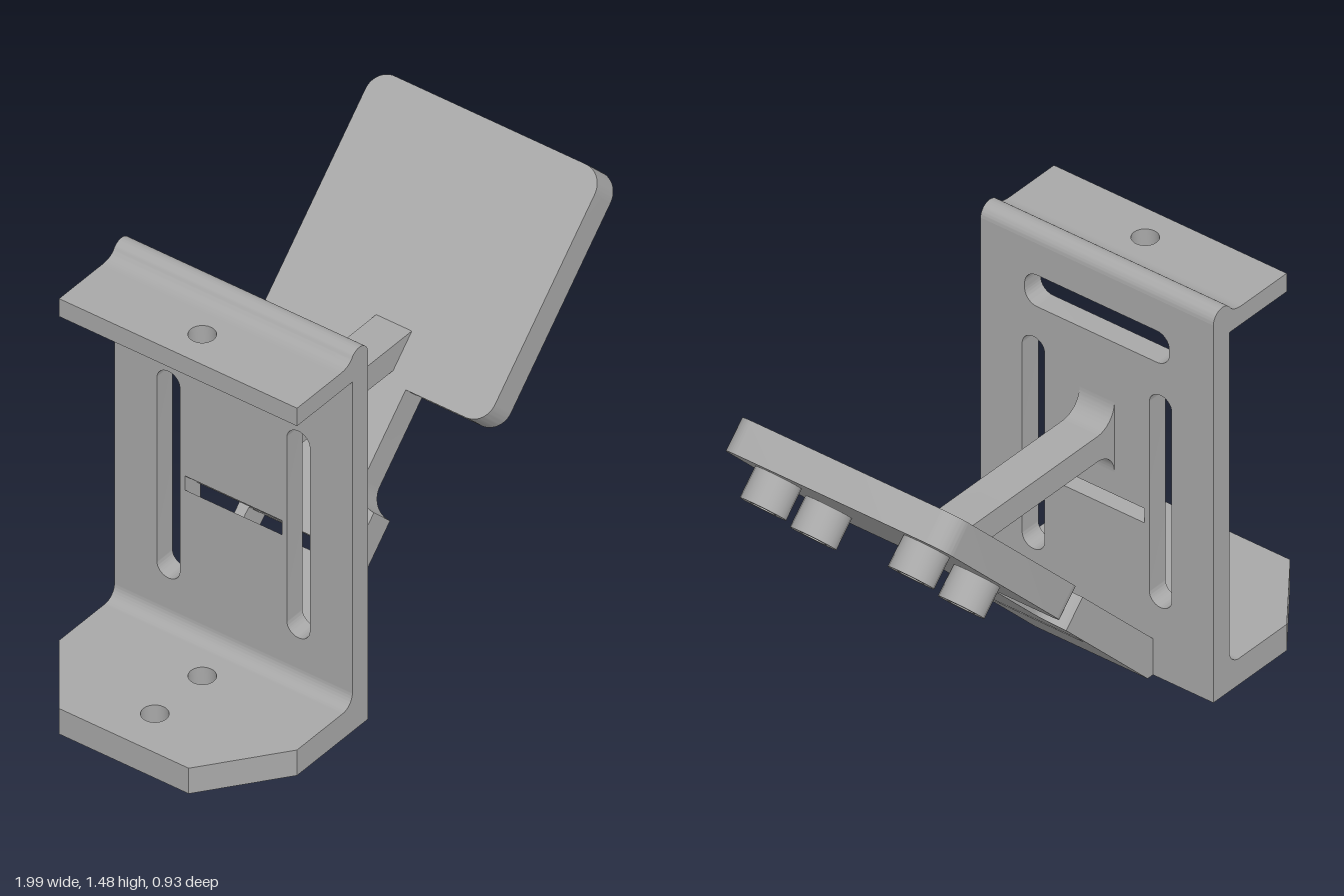
import * as THREE from 'three';
import { toCreasedNormals } from 'three/addons/utils/BufferGeometryUtils.js';

const V = (x, y, z) => new THREE.Vector3(x, y, z);
const D = Math.SQRT1_2;
const HALF = 0.467;               // half width of the bracket
const FRONT = -0.355, BACK = -0.435; // faces of the upright wall

// Frames in which flat shapes are drawn and then extruded
const frame = (a, b, c, o) => new THREE.Matrix4().makeBasis(a, b, c).setPosition(o);
const flatFrame = (y) => frame(V(1, 0, 0), V(0, 0, -1), V(0, 1, 0), V(0, y, 0));
const sideFrame = (half) => frame(V(1, 0, 0), V(0, 1, 0), V(0, 0, 1), V(0, 0, -half));
const wallFrame = frame(V(0, 0, 1), V(0, 1, 0), V(-1, 0, 0), V(FRONT, 0, 0));
const armFrame = frame(V(D, D, 0), V(0, 0, -1), V(-D, D, 0), V(-0.328, 0, 0));

const poly = (pts) => new THREE.Shape(pts.map(([x, y]) => new THREE.Vector2(x, y)));

function circle(x, y, r) {
  return new THREE.Shape().absarc(x, y, r, 0, Math.PI * 2, false);
}

function roundedRect(x0, y0, x1, y1, r) {
  const s = new THREE.Shape();
  s.absarc(x1 - r, y0 + r, r, -Math.PI / 2, 0, false);
  s.absarc(x1 - r, y1 - r, r, 0, Math.PI / 2, false);
  s.absarc(x0 + r, y1 - r, r, Math.PI / 2, Math.PI, false);
  s.absarc(x0 + r, y0 + r, r, Math.PI, Math.PI * 1.5, false);
  s.closePath();
  return s;
}

function extrude(shape, depth, holes = []) {
  shape.holes.push(...holes);
  return new THREE.ExtrudeGeometry(shape, { depth, bevelEnabled: false, curveSegments: 12 });
}

export function createModel() {
  const model = new THREE.Group();
  const grey = new THREE.MeshStandardMaterial({ color: 0xa8a8a8 });
  grey.name = 'grey';

  function add(name, geometry, matrix) {
    geometry.applyMatrix4(matrix);
    const mesh = new THREE.Mesh(toCreasedNormals(geometry, 0.5), grey);
    mesh.name = name;
    model.add(mesh);
  }
  const addProfile = (name, shape, half) => add(name, extrude(shape, half * 2), sideFrame(half));

  // Foot plate with cut corners and two screw holes
  const foot = poly([[-1, -0.255], [-0.72, -HALF], [BACK, -HALF], [BACK, HALF], [-0.72, HALF], [-1, 0.255]]);
  add('footPlate', extrude(foot, 0.1, [circle(-0.84, 0, 0.045), circle(-0.595, 0, 0.045)]), flatFrame(0));

  // Upper flange with one screw hole
  const flange = poly([[-0.72, -HALF], [BACK, -HALF], [BACK, HALF], [-0.72, HALF]]);
  add('topFlange', extrude(flange, 0.07, [circle(-0.595, 0, 0.045)]), flatFrame(1.37));

  // Upright wall with side slots, top window and an opening for the strap slot
  const wall = poly([[-HALF, 0], [HALF, 0], [HALF, 1.44], [-HALF, 1.44]]);
  add('uprightWall', extrude(wall, FRONT - BACK, [
    roundedRect(0.21, 0.27, 0.3, 1.08, 0.0449),
    roundedRect(-0.3, 0.27, -0.21, 1.08, 0.0449),
    roundedRect(-0.29, 1.2, 0.29, 1.32, 0.05),
    poly([[-0.19, 0.5], [0.19, 0.5], [0.19, 0.75], [-0.19, 0.75]]),
  ]), wallFrame);

  // Sloping lips leave a slanted strap slot in the opening
  addProfile('strapSlotLowerLip', poly([[BACK, 0.5], [FRONT, 0.5], [FRONT, 0.565], [BACK, 0.645]]), 0.19);
  addProfile('strapSlotUpperLip', poly([[BACK, 0.7], [FRONT, 0.62], [FRONT, 0.75], [BACK, 0.75]]), 0.19);

  // Rounded bead along the top edge
  const bead = new THREE.Shape();
  bead.absarc(-0.4, 1.44, 0.045, 0, Math.PI * 0.83, false);
  bead.quadraticCurveTo(-0.455, 1.44, -0.5, 1.44);
  bead.closePath();
  addProfile('topBead', bead, HALF);

  // Fillet between foot and wall
  const fillet = new THREE.Shape();
  fillet.moveTo(BACK, 0.1);
  fillet.lineTo(BACK, 0.15);
  fillet.absarc(BACK - 0.05, 0.15, 0.05, 0, -Math.PI / 2, true);
  fillet.closePath();
  addProfile('footFillet', fillet, HALF);

  // Horizontal strut, flared at the wall and cut to the slope of the arm
  const strut = new THREE.Shape();
  strut.moveTo(FRONT, 0.705);
  strut.absarc(FRONT + 0.085, 0.705, 0.085, Math.PI, Math.PI / 2, true);
  strut.lineTo(0.298, 0.79);
  strut.lineTo(0.393, 0.887);
  strut.absarc(FRONT + 0.085, 0.972, 0.085, -Math.PI / 2, -Math.PI, true);
  strut.closePath();
  addProfile('strut', strut, 0.07);

  // Sloping arm, neck and mounting plate in one outline (length along the slope, width)
  const arm = new THREE.Shape();
  const [step, neck, start, end, r] = [0.573, 0.14, 0.962, 1.838, 0.075];
  arm.moveTo(0, -0.225);
  arm.lineTo(step, -0.225);
  arm.absarc(step + 0.085, -0.225, 0.085, Math.PI, Math.PI / 2, true);
  arm.lineTo(start, -neck);
  arm.absarc(start + r, -0.45 + r, r, Math.PI, Math.PI * 1.5, false);
  arm.absarc(end - r, -0.45 + r, r, -Math.PI / 2, 0, false);
  arm.absarc(end - r, 0.45 - r, r, 0, Math.PI / 2, false);
  arm.absarc(start + r, 0.45 - r, r, Math.PI / 2, Math.PI, false);
  arm.lineTo(start, neck);
  arm.absarc(step + 0.085, 0.225, 0.085, -Math.PI / 2, -Math.PI, true);
  arm.lineTo(0, 0.225);
  arm.closePath();
  const armSlot = poly([[0.383, -0.187], [0.425, -0.187], [0.425, 0.187], [0.383, 0.187]]);
  const armGeometry = extrude(arm, 0.117, [armSlot]);
  // Mitre the lower end flush with the ground
  const p = armGeometry.attributes.position;
  for (let i = 0; i < p.count; i++) {
    if (p.getX(i) < 0.001) p.setX(i, -p.getZ(i));
  }
  add('armAndMountingPlate', armGeometry, armFrame);

  // Four hollow pegs under the mounting plate
  for (const along of [1.327, 1.68]) {
    for (const side of [-1, 1]) {
      const z = side * 0.297;
      const peg = extrude(circle(along, z, 0.081), 0.11, [circle(along, z, 0.047)]);
      peg.translate(0, 0, -0.11);
      add('hollowPeg', peg, armFrame);
    }
  }
  return model;
}
